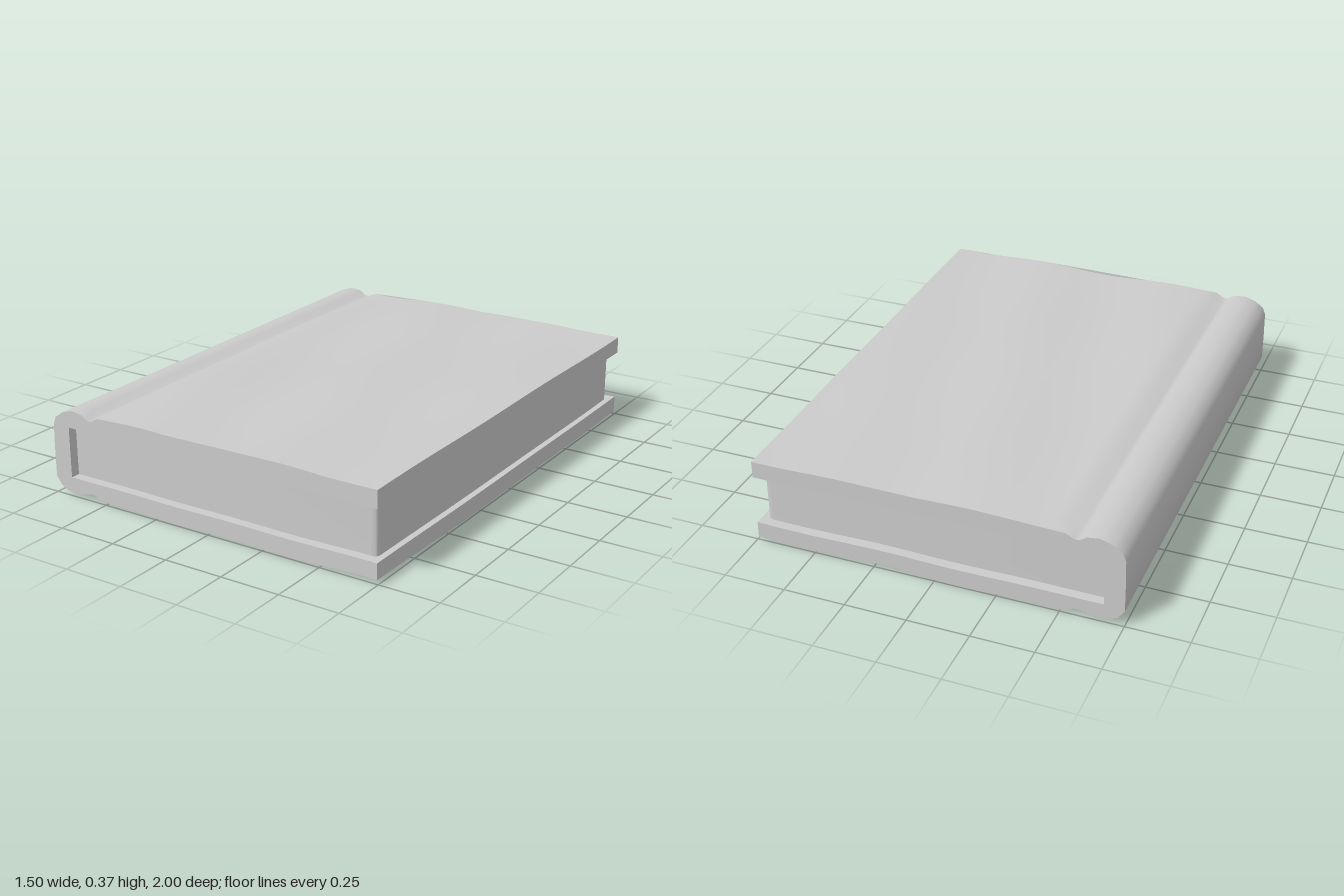
import * as THREE from 'three';
import { toCreasedNormals } from 'three/addons/utils/BufferGeometryUtils.js';

const material = new THREE.MeshStandardMaterial({ color: 0xcccccc });

// Evenly spaced points along a straight run, leaving out both ends
function run(x0, y0, x1, y1, n) {
  const points = [];
  for (let i = 1; i < n; i++) {
    points.push([x0 + (x1 - x0) * i / n, y0 + (y1 - y0) * i / n]);
  }
  return points;
}

// Gentle unevenness of worn boards
function wave(x, z) {
  return 0.005 * Math.sin(6.3 * x + 1.9 * z) * Math.cos(3.7 * z - 2 * x)
    + 0.004 * Math.sin(11 * x - 2.6 * z + 1);
}

// Both boards and the spine as one C-shaped section, swept from back to front
function createCover() {
  const section = [
    [0.745, 0.3], [0.745, 0.371],
    ...run(0.745, 0.371, -0.52, 0.371, 18),
    // upper hinge groove and rounded spine
    [-0.52, 0.37], [-0.555, 0.35], [-0.572, 0.35], [-0.6, 0.368], [-0.65, 0.374],
    [-0.7, 0.357], [-0.735, 0.332], [-0.748, 0.3], [-0.75, 0.2], [-0.75, 0.08],
    [-0.725, 0.045], [-0.69, 0.028], [-0.62, 0.027],
    // lower hinge groove
    [-0.575, 0.04], [-0.555, 0.04], [-0.52, 0.02],
    ...run(-0.52, 0.02, 0.745, 0.02, 18),
    [0.745, 0.02], [0.745, 0.09],
    ...run(0.745, 0.09, -0.67, 0.09, 18),
    [-0.67, 0.09], [-0.67, 0.3],
    ...run(-0.67, 0.3, 0.745, 0.3, 18),
  ];
  const shape = new THREE.Shape(section.map(([x, y]) => new THREE.Vector2(x, y)));
  const geometry = new THREE.ExtrudeGeometry(shape, { depth: 2, steps: 28, bevelEnabled: false });
  geometry.translate(0, 0, -1);

  // Ripple the boards, leaving the spine straight
  const pos = geometry.attributes.position;
  for (let i = 0; i < pos.count; i++) {
    const x = pos.getX(i), y = pos.getY(i), z = pos.getZ(i);
    const amount = THREE.MathUtils.smoothstep(x, -0.75, -0.4);
    const outer = y > 0.34 || y < 0.06 ? 1 : 0.4;
    const offset = y > 0.2 ? 0 : 1.3;
    pos.setY(i, y + amount * outer * wave(x + offset, z));
  }
  const cover = new THREE.Mesh(toCreasedNormals(geometry, 0.7), material);
  cover.name = 'cover';
  return cover;
}

// Block of pages with softened upright corners
function createPages() {
  const x0 = -0.685, x1 = 0.72, z = 0.96, r = 0.025;
  const shape = new THREE.Shape();
  shape.moveTo(x0, -z);
  shape.lineTo(x1 - r, -z);
  shape.quadraticCurveTo(x1, -z, x1, -z + r);
  shape.lineTo(x1, z - r);
  shape.quadraticCurveTo(x1, z, x1 - r, z);
  shape.lineTo(x0, z);
  const geometry = new THREE.ExtrudeGeometry(shape, { depth: 0.23, bevelEnabled: false, curveSegments: 6 });
  geometry.rotateX(-Math.PI / 2);
  geometry.translate(0, 0.08, 0);
  const pages = new THREE.Mesh(toCreasedNormals(geometry, 0.7), material);
  pages.name = 'pages';
  return pages;
}

export function createModel() {
  const book = new THREE.Group();
  book.name = 'book';
  book.add(createCover(), createPages());
  return book;
}
